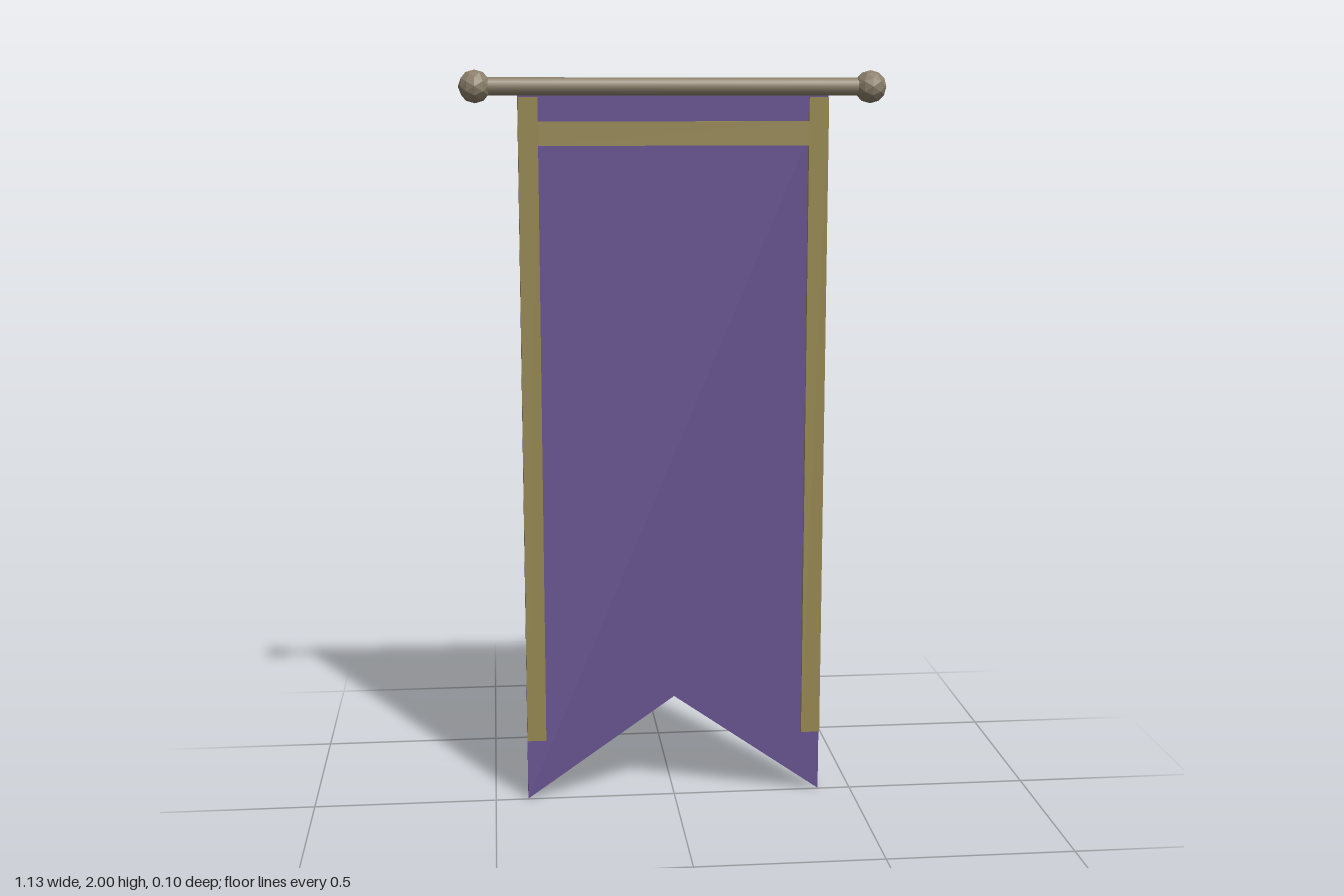
import * as THREE from 'three';

const mat = (color, flatShading = false) => new THREE.MeshStandardMaterial({ color, flatShading });

// Closed outline in the XY plane, extruded from z0 to z1
function slab(points, z0, z1) {
  const shape = new THREE.Shape(points.map(([x, y]) => new THREE.Vector2(x, y)));
  const geo = new THREE.ExtrudeGeometry(shape, { depth: z1 - z0, bevelEnabled: false });
  return geo.translate(0, 0, z0);
}

export function createModel() {
  const banner = new THREE.Group();
  banner.name = 'banner';
  const purple = mat(0x675291), gold = mat(0x968751), wood = mat(0x8b7f6a), knobWood = mat(0x8b7f6a, true);
  const silver = mat(0xaaa799);

  const add = (name, geometry, material, x = 0, y = 0, z = 0) => {
    const mesh = new THREE.Mesh(geometry, material);
    mesh.name = name;
    mesh.position.set(x, y, z);
    banner.add(mesh);
    return mesh;
  };

  const clothBack = -0.0275, clothFront = -0.0025;
  const poleY = 1.957, poleZ = 0.007;

  // Hanging pole with a faceted knob at each end
  add('pole', new THREE.CylinderGeometry(0.0235, 0.0235, 1.04, 12).rotateZ(Math.PI / 2), wood, 0, poleY, poleZ);
  for (const side of [-1, 1]) {
    add(side > 0 ? 'leftKnob' : 'rightKnob', new THREE.IcosahedronGeometry(0.043, 1), knobWood, side * 0.52, poleY, poleZ);
  }

  // Swallow-tailed cloth
  add('cloth', slab([[-0.41, 0], [0, 0.287], [0.41, 0], [0.41, 1.95], [-0.41, 1.95]], clothBack, clothFront), purple);

  // Raised trim on both faces: two side strips and a crossbar
  const trimDepth = 0.0125;
  for (const [face, z] of [['front', clothFront + trimDepth / 2], ['back', clothBack - trimDepth / 2]]) {
    for (const side of [-1, 1]) {
      add(face + (side > 0 ? 'LeftTrim' : 'RightTrim'),
        new THREE.BoxGeometry(0.052, 1.757, trimDepth), gold, side * 0.384, 1.0515, z);
    }
    add(face + 'CrossTrim', new THREE.BoxGeometry(0.716, 0.063, trimDepth), gold, 0, 1.836, z);
  }

  // Toothed emblem on the back, mirrored from half an outline
  const half = [[0.108, 1.368], [0.194, 1.295], [0.174, 1.194], [0.092, 1.144], [0.08, 1.066], [0.032, 1.095]];
  const mirrored = half.map(([x, y]) => [-x, y]).reverse();
  add('emblem', slab([...half, [0, 1.043], ...mirrored], -0.051, clothBack), silver);

  return banner;
}
